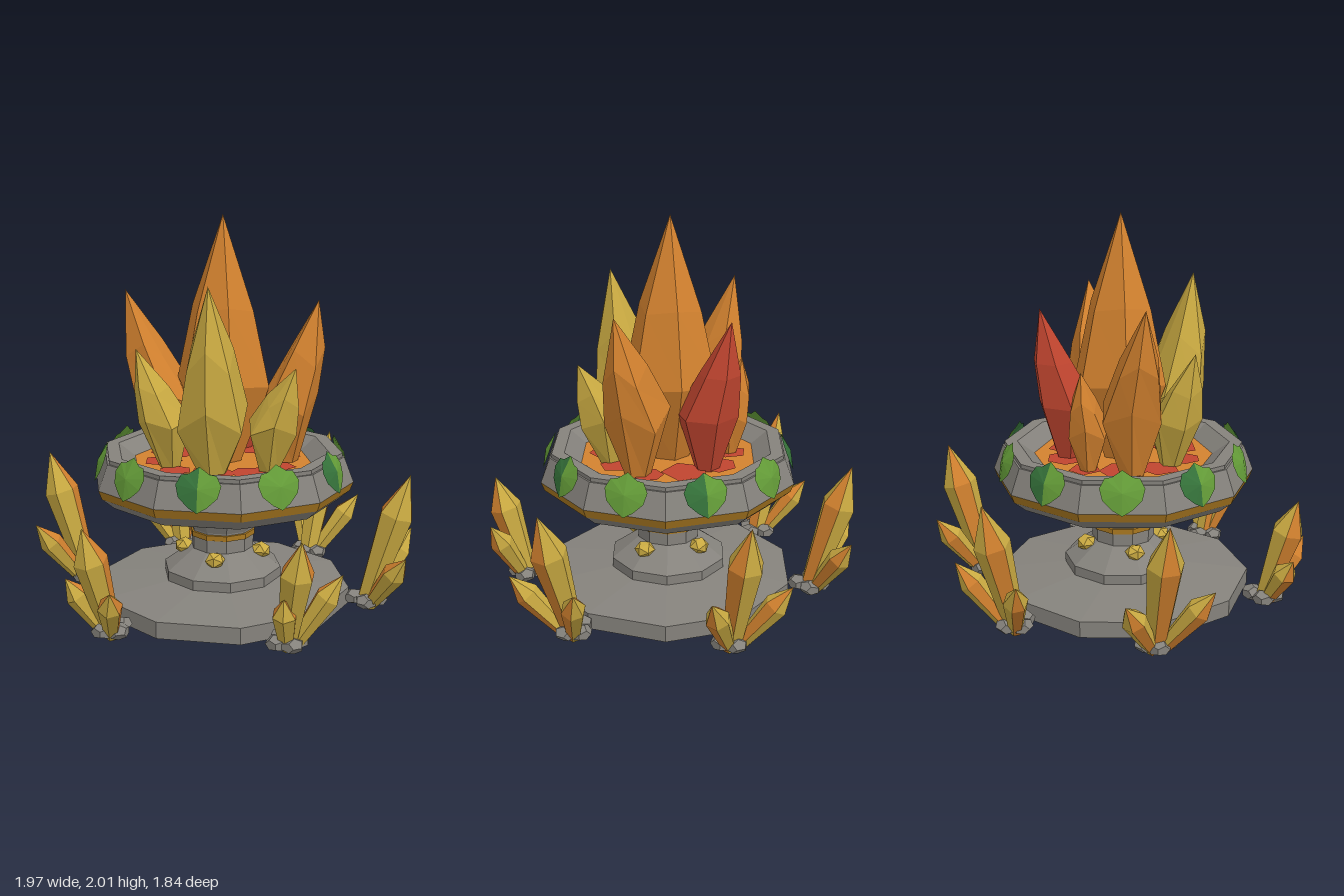
import * as THREE from 'three';

const mat = (name, color, side = THREE.FrontSide) => {
  const m = new THREE.MeshStandardMaterial({ color, flatShading: true, side });
  m.name = name;
  return m;
};

export function createModel() {
  const root = new THREE.Group();
  root.name = 'crystalBrazier';
  const stone = mat('stone', 0x85827c);
  const gold = mat('gold', 0xa87720);
  const orange = mat('orange', 0xd3822f);
  const yellow = mat('yellow', 0xcbab42);
  const red = mat('red', 0xc0452f);
  const leafLight = mat('leafLight', 0x649c38, THREE.DoubleSide);
  const leafDark = mat('leafDark', 0x35723a, THREE.DoubleSide);

  const add = (parent, name, geo, material) => {
    const m = new THREE.Mesh(geo, material);
    m.name = name;
    parent.add(m);
    return m;
  };
  const lathe = (pts, sides, start = 0) =>
    new THREE.LatheGeometry(pts.map(p => new THREE.Vector2(p[0], p[1])), sides, start);
  const TEN = Math.PI / 10; // puts corners of the ten-sided parts on the x axis

  // Stone body, ten-sided
  const body = new THREE.Group();
  body.name = 'brazier';
  body.position.z = 0.035;
  root.add(body);
  const ringPart = (name, pts, material) => add(body, name, lathe(pts, 10, TEN), material);
  ringPart('base', [[0, 0], [0.67, 0], [0.67, 0.085], [0.3, 0.125]], stone);
  ringPart('foot', [[0.31, 0.1], [0.31, 0.175], [0.165, 0.28], [0.165, 0.345]], stone);
  ringPart('neckRing', [[0.15, 0.343], [0.172, 0.348], [0.172, 0.375], [0.15, 0.38]], gold);
  ringPart('neck', [[0.163, 0.34], [0.163, 0.385], [0.205, 0.48]], stone);
  ringPart('bowlUnderside', [[0.15, 0.478], [0.36, 0.478], [0.6, 0.555], [0.665, 0.61]], stone);
  ringPart('bowlBand', [[0.665, 0.61], [0.682, 0.655]], gold);
  ringPart('bowlRim', [[0.682, 0.655], [0.632, 0.785], [0.622, 0.785], [0.622, 0.805],
    [0.555, 0.805], [0.46, 0.735]], stone);
  ringPart('lava', [[0.47, 0.74], [0, 0.74]], orange);

  // Red patches on the lava
  for (let i = 0; i < 10; i++) {
    const a = i * Math.PI / 5 + 0.3;
    const g = new THREE.CircleGeometry(0.085 + 0.02 * (i % 3), 5 + (i % 2));
    g.rotateX(-Math.PI / 2).rotateY(i * 1.3);
    const p = add(body, 'lavaPatch', g, red);
    const r = 0.33 - 0.02 * (i % 3);
    p.position.set(Math.cos(a) * r, 0.746, Math.sin(a) * r);
  }

  // Gems around the foot
  for (let i = 0; i < 4; i++) {
    const a = i * Math.PI / 2;
    const g = add(body, 'footGem', new THREE.IcosahedronGeometry(0.055, 0), yellow);
    g.scale.set(1, 0.8, 1);
    g.position.set(Math.sin(a) * 0.205, 0.26, Math.cos(a) * 0.205);
    g.rotation.y = a;
  }

  // Leaves on the rim: two folded halves each
  const surface = y => 0.649 - (y - 0.655) * 0.366;
  const leafHalf = s => {
    const edge = [[0, 0.857], [0.05, 0.825], [0.085, 0.82], [0.11, 0.775], [0.095, 0.72], [0.045, 0.675], [0, 0.65]];
    const at = ([x, y], out) => [s * x, y, surface(y) + out];
    const v = [];
    for (let i = 0; i < edge.length - 1; i++) {
      const a = at(edge[i], 0.012), b = at(edge[i + 1], 0.012), c = at([0, 0.76], 0.035);
      v.push(...c, ...(s > 0 ? [...b, ...a] : [...a, ...b]));
    }
    const g = new THREE.BufferGeometry();
    g.setAttribute('position', new THREE.Float32BufferAttribute(v, 3));
    g.computeVertexNormals();
    return g;
  };
  for (let i = 0; i < 10; i++) {
    const leaf = new THREE.Group();
    leaf.name = 'leaf';
    leaf.rotation.y = i * Math.PI / 5;
    add(leaf, 'leafLeftHalf', leafHalf(1), leafLight);
    add(leaf, 'leafRightHalf', leafHalf(-1), i % 2 ? leafLight : leafDark);
    body.add(leaf);
  }

  // Flames: six-sided spikes bent from a belly point towards the tip
  const flame = (name, mid, tip, yMid, r, material, start) => {
    const y0 = 0.74, yTip = tip[1];
    const yUp = yMid + (yTip - yMid) * 0.45;
    const g = lathe([[0, y0], [r * 0.4, y0], [r, yMid], [r * 0.66, yUp], [0, yTip]], 6, start);
    const p = g.attributes.position;
    for (let i = 0; i < p.count; i++) {
      const x = p.getX(i), y = p.getY(i), z = p.getZ(i);
      const s = Math.max(0, (y - yMid) / (yTip - yMid));
      const inner = y < yMid ? 0.92 : 1;
      const wave = Math.hypot(x, z) > r * 0.5 ? Math.cos(3 * Math.atan2(x, z) + start) * r * 0.3 : 0;
      p.setXYZ(i, x + mid[0] * inner * (1 - s) + tip[0] * s, y + wave,
        z + mid[1] * inner * (1 - s) + tip[2] * s);
    }
    g.computeVertexNormals();
    add(root, name, g, material);
  };
  flame('mainFlame', [0, 0.02], [0, 2, 0.02], 1.15, 0.25, orange, 0.35);
  flame('rightFlame', [-0.34, -0.02], [-0.52, 1.61, -0.02], 1.06, 0.165, orange, 0.2);
  flame('leftFlame', [0.35, -0.02], [0.485, 1.58, -0.01], 1.05, 0.165, orange, 0.7);
  flame('backFlame', [0.05, -0.27], [0.05, 1.53, -0.39], 1.03, 0.16, red, 0.4);
  flame('smallBackFlame', [-0.22, -0.23], [-0.24, 1.26, -0.26], 0.95, 0.105, orange, 0.1);
  flame('frontFlame', [0, 0.32], [0, 1.68, 0.41], 1.02, 0.185, yellow, 0);
  flame('frontRightFlame', [-0.26, 0.23], [-0.39, 1.35, 0.28], 0.98, 0.135, yellow, 0.5);
  flame('frontLeftFlame', [0.29, 0.23], [0.41, 1.28, 0.29], 0.97, 0.13, yellow, 0.2);

  // Crystal: hexagonal spike with two orange sides, from foot to tip
  const up = new THREE.Vector3(0, 1, 0);
  const crystal = (parent, foot, tip, r) => {
    const a = new THREE.Vector3(...foot), d = new THREE.Vector3(...tip).sub(a);
    const len = d.length();
    const g = lathe([[0, 0], [r * 0.55, 0], [r, len * 0.7], [0, len]], 6);
    const n = g.index.count / 6;
    for (let i = 0; i < 6; i++) g.addGroup(i * n, n, i === 1 || i === 4 ? 1 : 0);
    const m = add(parent, 'crystal', g, [yellow, orange]);
    m.position.copy(a);
    m.quaternion.setFromUnitVectors(up, d.normalize());
  };

  // Clusters: foot position, then tips with the tall crystal first
  const clusters = [
    [[0.76, 0.05], [0.97, 0.715, 0.07], [0.98, 0.37, -0.15], [0.965, 0.34, 0.28]],
    [[-0.76, -0.04], [-0.968, 0.715, -0.05], [-0.98, 0.37, 0.175], [-0.95, 0.34, -0.255]],
    [[0.43, 0.67], [0.51, 0.58, 0.81], [0.69, 0.39, 0.68], [0.43, 0.3, 0.81]],
    [[-0.43, 0.67], [-0.53, 0.58, 0.8], [-0.365, 0.31, 0.92], [-0.64, 0.3, 0.73]],
    [[0.38, -0.64], [0.48, 0.715, -0.81], [0.28, 0.37, -0.92], [0.66, 0.37, -0.715]],
    [[-0.36, -0.64], [-0.46, 0.715, -0.81], [-0.67, 0.37, -0.7], [-0.29, 0.37, -0.92]],
  ];
  clusters.forEach(([[fx, fz], tall, ...small], k) => {
    const group = new THREE.Group();
    group.name = 'crystalCluster';
    root.add(group);
    crystal(group, [fx, 0.01, fz], tall, tall[1] > 0.6 ? 0.092 : 0.085);
    for (const t of small) {
      crystal(group, [fx + (t[0] - fx) * 0.1, 0.01, fz + (t[2] - fz) * 0.1], t, 0.062);
    }
    // Rocks around the crystal feet
    const out = Math.atan2(fz, fx);
    for (let i = 0; i < 4; i++) {
      const a = out + [Math.PI, 1.4, -1.4, 0][i];
      const rock = add(group, 'rock', new THREE.DodecahedronGeometry(0.06, 0), stone);
      rock.geometry.rotateY(i * 1.1 + k).scale(1, 0.68, 1);
      rock.position.set(fx + Math.cos(a) * 0.055, 0.041, fz + Math.sin(a) * 0.055);
    }
  });

  return root;
}
